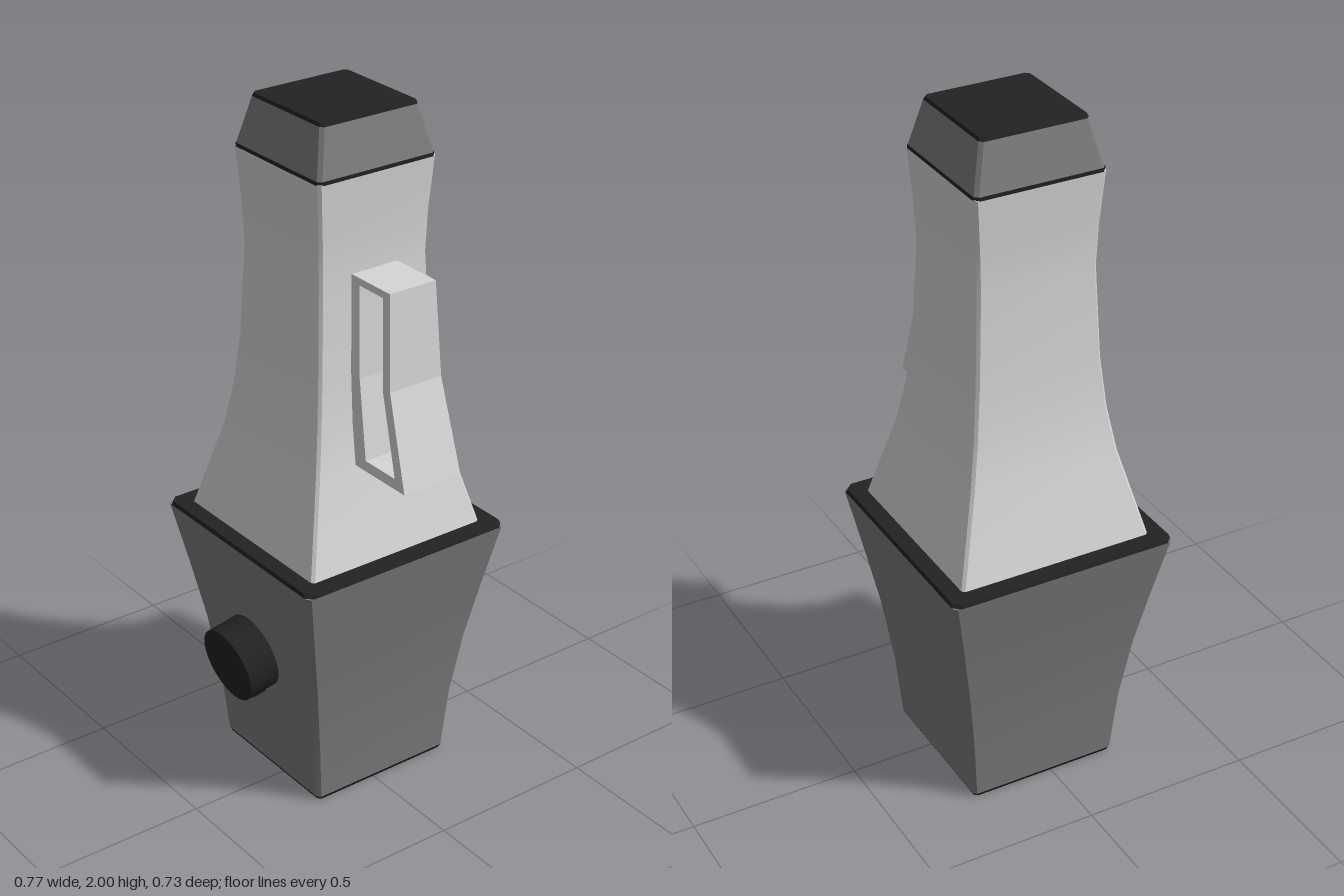
import * as THREE from 'three';

const CX = -0.047, CZ = -0.027; // axis of the body

const mat = (name, color) => {
  const m = new THREE.MeshStandardMaterial({ color });
  m.name = name;
  return m;
};

// Square ring with clipped corners, counter-clockwise seen from above
function ring(y, h, c) {
  const k = h - c;
  return [[k, h], [h, k], [h, -k], [k, -h], [-k, -h], [-h, -k], [-h, k], [-k, h]]
    .map(([x, z]) => [CX + x, y, CZ + z]);
}

// Loft through [y, half width] rows: smooth along the height, sharp at the corners, closed ends
function squareLoft(rows, clip) {
  const rings = rows.map(([y, h]) => ring(y, h, clip));
  const pos = [], index = [];
  for (let s = 0; s < 8; s++) {
    const base = pos.length / 3;
    rings.forEach((r, i) => {
      pos.push(...r[s], ...r[(s + 1) % 8]);
      if (i) {
        const a = base + 2 * (i - 1);
        index.push(a, a + 1, a + 3, a, a + 3, a + 2);
      }
    });
  }
  [rings[0], rings[rings.length - 1]].forEach((r, top) => {
    const base = pos.length / 3;
    r.forEach((p) => pos.push(...p));
    for (let i = 1; i < 7; i++) {
      index.push(base, base + (top ? i : i + 1), base + (top ? i + 1 : i));
    }
  });
  const g = new THREE.BufferGeometry();
  g.setAttribute('position', new THREE.Float32BufferAttribute(pos, 3));
  g.setIndex(index);
  g.computeVertexNormals();
  return g;
}

export function createModel() {
  const group = new THREE.Group();
  const light = mat('lightGrey', 0xd6d6d6);
  const grey = mat('midGrey', 0x7c7c7c);
  const black = mat('black', 0x222222);

  const add = (name, geometry, material, parent = group) => {
    const mesh = new THREE.Mesh(geometry, material);
    mesh.name = name;
    parent.add(mesh);
    return mesh;
  };

  // Flared base with dark foot and shoulder
  add('foot', squareLoft([[0, 0.222], [0.012, 0.228]], 0.01), black);
  add('base', squareLoft([[0.012, 0.228], [0.2, 0.243], [0.4, 0.27], [0.58, 0.303], [0.764, 0.339]], 0.01), grey);
  add('shoulder', squareLoft([[0.764, 0.34], [0.775, 0.336]], 0.02), black);

  // Tapering upper body
  add('upperBody', squareLoft([[0.775, 0.289], [1.03, 0.224], [1.16, 0.202], [1.31, 0.187],
    [1.58, 0.175], [1.7, 0.179], [1.853, 0.19]], 0.008), light);

  // Cap with dark seam and top
  add('capSeam', squareLoft([[1.851, 0.19], [1.861, 0.19]], 0.012), black);
  add('cap', squareLoft([[1.861, 0.188], [1.991, 0.157]], 0.01), grey);
  add('capTop', squareLoft([[1.991, 0.157], [2, 0.153]], 0.01), black);

  // Handle: side outline with a hole, widening towards the bottom
  const v = (pts) => pts.map(([x, y]) => new THREE.Vector2(x, y));
  const outline = new THREE.Shape(v([[0.12, 1.58], [0.13, 1.31], [0.17, 1.045],
    [0.385, 1.045], [0.307, 1.31], [0.289, 1.58]]));
  outline.holes.push(new THREE.Path(v([[0.163, 1.56], [0.262, 1.56], [0.278, 1.3],
    [0.342, 1.075], [0.217, 1.075], [0.178, 1.3]])));
  const handle = new THREE.ExtrudeGeometry(outline, { depth: 1, bevelEnabled: false });
  const p = handle.attributes.position;
  for (let i = 0; i < p.count; i++) {
    const half = 0.075 + 0.02 * (1.58 - p.getY(i)) / 0.535;
    p.setZ(i, CZ + (p.getZ(i) - 0.5) * 2 * half);
  }
  handle.computeVertexNormals();
  add('handle', handle, light);

  // Front dial, square to the sloping panel
  const dial = new THREE.Group();
  dial.name = 'dial';
  dial.position.set(-0.053, 0.405, 0.298);
  dial.rotation.x = Math.PI / 2 + 0.18;
  group.add(dial);
  add('knob', new THREE.CylinderGeometry(0.112, 0.112, 0.095, 40), black, dial);
  add('spindle', new THREE.CylinderGeometry(0.08, 0.08, 0.06, 24), black, dial).position.y = -0.05;
  add('pointer', new THREE.BoxGeometry(0.034, 0.045, 0.06), black, dial).position.set(0, -0.025, 0.112);

  return group;
}
